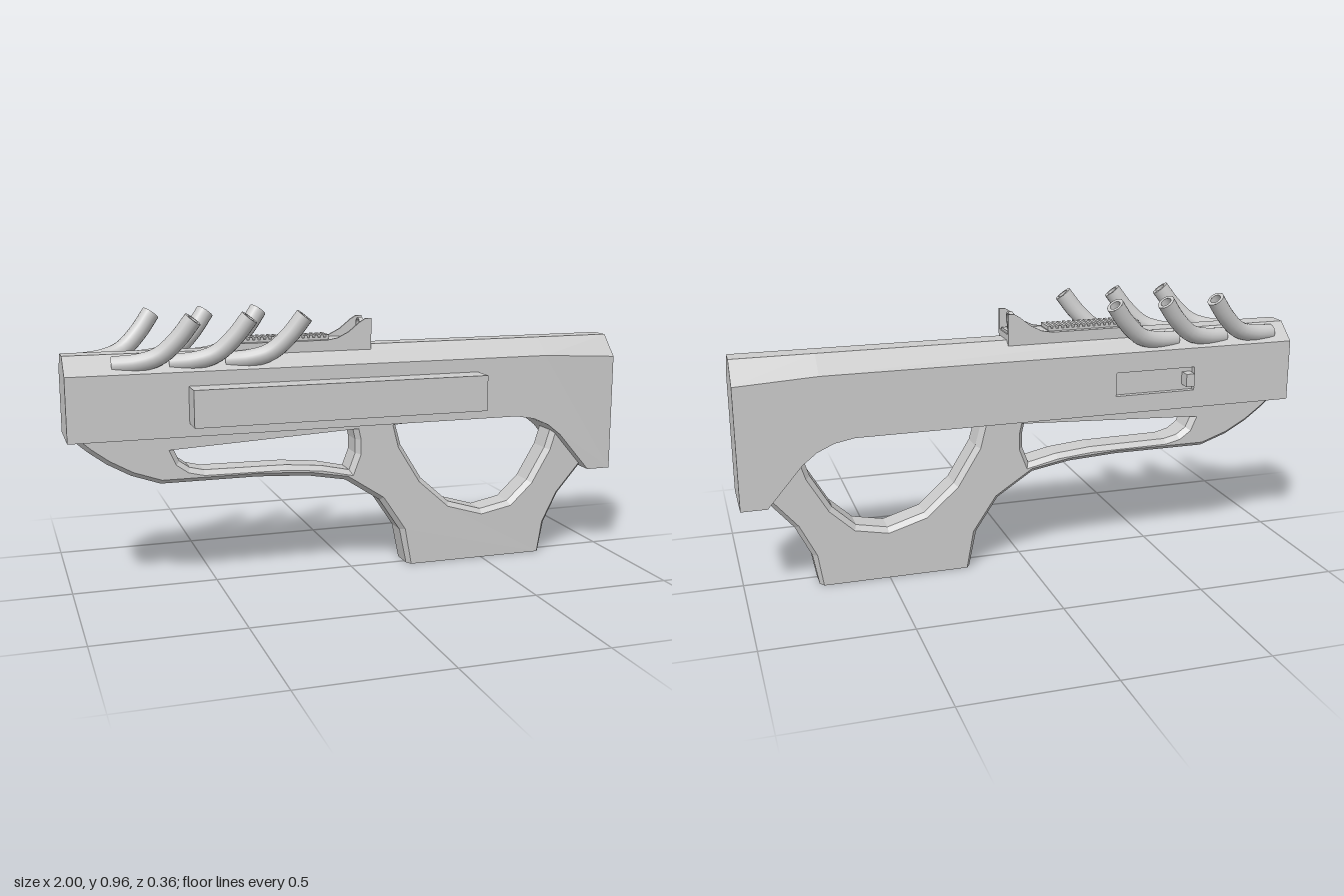
import * as THREE from 'three';
import { mergeGeometries } from 'three/addons/utils/BufferGeometryUtils.js';

const MID = -0.02; // z of the body's mirror plane
const SIDE_Y = 0.76; // height where the top chamfer starts

const mat = new THREE.MeshStandardMaterial({ color: 0xcccccc });
const matDouble = new THREE.MeshStandardMaterial({ color: 0xcccccc, side: THREE.DoubleSide });

const points = (list) => list.map(([x, y]) => new THREE.Vector2(x, y));
const shapeOf = (list) => new THREE.Shape(points(list));

function add(parent, name, geometry, material = mat) {
  const mesh = new THREE.Mesh(geometry, material);
  mesh.name = name;
  parent.add(mesh);
  return mesh;
}

// Side outline extruded across z
function slab(shape, z0, z1) {
  return new THREE.ExtrudeGeometry(shape, { depth: z1 - z0, bevelEnabled: false }).translate(0, 0, z0);
}

function box(x0, x1, y0, y1, z0, z1) {
  return new THREE.BoxGeometry(x1 - x0, y1 - y0, z1 - z0)
    .translate((x0 + x1) / 2, (y0 + y1) / 2, (z0 + z1) / 2);
}

// Chamfered ridge along x; the chamfer's foot may drop towards x1
function ridge(x0, x1, endY) {
  const shape = shapeOf([[-0.09, SIDE_Y], [0.13, SIDE_Y], [0.057, 0.82], [-0.017, 0.82]]);
  const g = new THREE.ExtrudeGeometry(shape, { depth: x1 - x0, bevelEnabled: false })
    .rotateY(Math.PI / 2).translate(x0, 0, 0);
  const p = g.attributes.position;
  for (let i = 0; i < p.count; i++) {
    if (p.getX(i) > x1 - 0.001 && p.getY(i) < 0.8) p.setY(i, endY);
  }
  g.computeVertexNormals();
  return g;
}

function buildBody(root) {
  const body = new THREE.Group();
  body.name = 'body';
  const outline = () => shapeOf([
    [-1, 0.54], [0.61, 0.54], [0.68, 0.527], [0.74, 0.5], [0.79, 0.46],
    [0.91, 0.32], [1, 0.32], [1, 0.745], [0.72, SIDE_Y], [-1, SIDE_Y],
  ]);
  add(body, 'receiver', slab(outline(), -0.11, 0.09));
  // Back skin with the slot cut through it
  const skin = outline();
  skin.holes.push(new THREE.Path(points([[-0.62, 0.605], [-0.62, 0.69], [-0.32, 0.69], [-0.32, 0.605]])));
  add(body, 'slottedSidePlate', slab(skin, -0.13, -0.11));
  add(body, 'topRidge', mergeGeometries([ridge(-1, 0.72, SIDE_Y), ridge(0.72, 1, 0.745)]));
  add(body, 'slotKnob', box(-0.612, -0.58, 0.625, 0.671, -0.152, -0.105));
  add(body, 'sideBox', box(-0.597, 0.45, 0.585, 0.712, 0.09, 0.18));
  root.add(body);
}

function buildGrip(root) {
  const shape = shapeOf([
    [-0.99, 0.58], [-0.98, 0.54], [-0.93, 0.495], [-0.87, 0.45], [-0.79, 0.405], [-0.69, 0.37],
    [-0.35, 0.37], [-0.17, 0.36], [-0.03, 0.335], [0.1, 0.25], [0.18, 0.13], [0.207, 0],
    [0.745, 0], [0.765, 0.11], [0.82, 0.22], [0.91, 0.325], [0.95, 0.37], [0.9, 0.58],
  ]);
  // Opening of the front handle
  shape.holes.push(new THREE.Path(points([
    [-0.63, 0.56], [-0.645, 0.49], [-0.625, 0.445], [-0.59, 0.42], [-0.54, 0.408], [-0.25, 0.405],
    [-0.12, 0.393], [-0.015, 0.37], [0.008, 0.43], [0.008, 0.48], [-0.01, 0.56],
  ])));
  // Opening of the thumb hole
  shape.holes.push(new THREE.Path(points([
    [0.15, 0.56], [0.18, 0.45], [0.26, 0.32], [0.37, 0.222], [0.5, 0.183], [0.61, 0.205],
    [0.69, 0.28], [0.76, 0.4], [0.785, 0.48], [0.74, 0.56],
  ])));
  const g = new THREE.ExtrudeGeometry(shape, {
    depth: 0.084, bevelEnabled: true, bevelSegments: 1,
    bevelThickness: 0.02, bevelSize: 0.016, bevelOffset: -0.016,
  }).translate(0, 0, MID - 0.042);
  // Keep the foot flat
  const p = g.attributes.position;
  for (let i = 0; i < p.count; i++) if (p.getY(i) < 0.03) p.setY(i, 0);
  g.computeVertexNormals();
  add(root, 'gripFrame', g);
}

function buildPipe(endX, mirror) {
  const pipe = new THREE.Group();
  pipe.name = 'exhaustPipe';
  const path = new THREE.CatmullRomCurve3([
    [-0.26, 0.785, 0.04], [-0.18, 0.792, 0.057], [-0.11, 0.815, 0.076], [-0.05, 0.87, 0.094], [0, 0.937, 0.108],
  ].map(([x, y, z]) => new THREE.Vector3(endX + x, y, mirror ? 2 * MID - z : z)));
  add(pipe, 'pipeWall', new THREE.TubeGeometry(path, 14, 0.031, 16), matDouble);
  add(pipe, 'pipeBore', new THREE.TubeGeometry(path, 14, 0.019, 16), matDouble);
  const rim = add(pipe, 'pipeRim', new THREE.RingGeometry(0.019, 0.031, 16), matDouble);
  rim.position.copy(path.getPoint(1));
  rim.quaternion.setFromUnitVectors(new THREE.Vector3(0, 0, 1), path.getTangent(1));
  return pipe;
}

function buildSight(root) {
  const sight = new THREE.Group();
  sight.name = 'sight';
  add(sight, 'sightBase', box(-0.437, 0.062, 0.803, 0.841, MID - 0.054, MID + 0.054));
  // Side wings that rise at the end
  const wing = shapeOf([
    [-0.437, 0.803], [0.062, 0.803], [0.062, 0.913], [0.04, 0.912], [0.02, 0.9],
    [-0.02, 0.868], [-0.06, 0.848], [-0.1, 0.841], [-0.437, 0.841],
  ]);
  for (const z of [MID - 0.058, MID + 0.05]) add(sight, 'sightWing', slab(wing, z, z + 0.008));
  // Ribbed strip
  add(sight, 'ribStrip', box(-0.435, -0.09, 0.84, 0.849, MID - 0.038, MID + 0.038));
  const ribs = [];
  for (let i = 0; i < 18; i++) {
    const x = -0.43 + i * 0.0195;
    ribs.push(box(x, x + 0.011, 0.845, 0.858, MID - 0.038, MID + 0.038));
  }
  add(sight, 'ribs', mergeGeometries(ribs));
  // Ring on a short post
  add(sight, 'ringFoot', box(0.015, 0.058, 0.84, 0.85, MID - 0.036, MID + 0.036));
  add(sight, 'ringPost', box(0.03, 0.046, 0.848, 0.868, MID - 0.01, MID + 0.01));
  const ring = new THREE.Shape().absarc(0, 0, 0.024, 0, Math.PI * 2);
  ring.holes.push(new THREE.Path().absarc(0, 0, 0.018, 0, Math.PI * 2, true));
  add(sight, 'ring', slab(ring, -0.008, 0.008).rotateY(Math.PI / 2).translate(0.038, 0.887, MID));
  root.add(sight);
}

export function createModel() {
  const root = new THREE.Group();
  root.name = 'blaster';
  buildBody(root);
  buildGrip(root);
  for (let i = 0; i < 3; i++) {
    root.add(buildPipe(-0.58 + i * 0.19, false));
    root.add(buildPipe(-0.68 + i * 0.19, true));
  }
  buildSight(root);
  return root;
}
